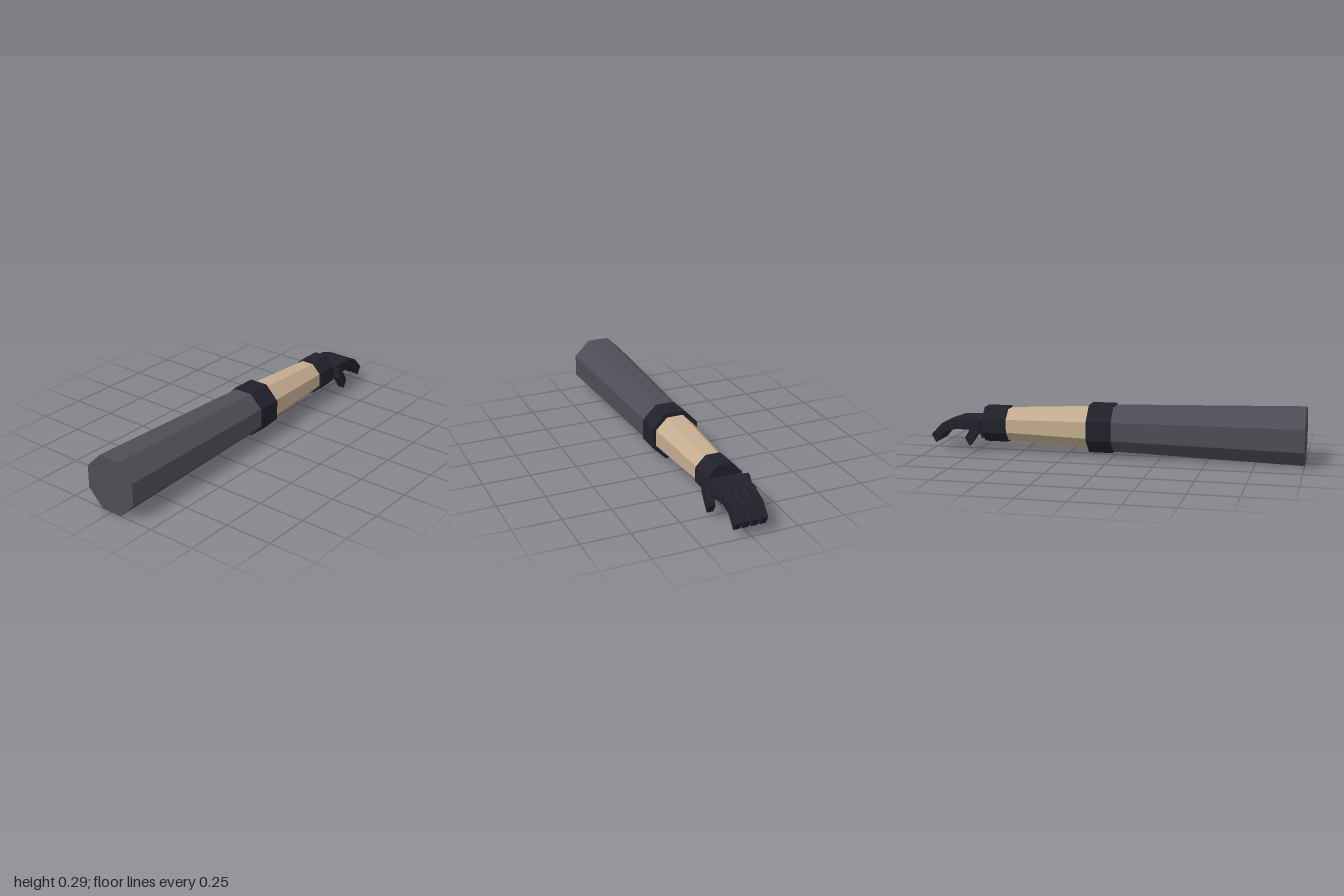
import * as THREE from 'three';

const AXIS_Y = 0.144; // height of the arm's centre line

function makeMaterial(name, color) {
  const m = new THREE.MeshStandardMaterial({ color, flatShading: true });
  m.name = name;
  return m;
}

export function createModel() {
  const group = new THREE.Group();
  const sleeve = makeMaterial('sleeve grey', 0x4d4d55);
  const glove = makeMaterial('glove black', 0x21212b);
  const skin = makeMaterial('skin', 0xc3ad90);

  const add = (name, geometry, material) => {
    const mesh = new THREE.Mesh(geometry, material);
    mesh.name = name;
    group.add(mesh);
    return mesh;
  };

  // Eight-sided tapered section lying along z; sizes are half-widths across the flats
  const section = (name, zFront, zBack, halfFront, halfBack, material) => {
    const k = 1 / Math.cos(Math.PI / 8);
    const g = new THREE.CylinderGeometry(
      halfFront * k, halfBack * k, zFront - zBack, 8, 1, false, Math.PI / 8);
    g.rotateX(Math.PI / 2);
    g.translate(0, AXIS_Y, (zFront + zBack) / 2);
    add(name, g, material);
  };

  // Side profile of [z, y] points, given a width along x
  const profile = (name, points, xCentre, width) => {
    const shape = new THREE.Shape(points.map(([z, y]) => new THREE.Vector2(-z, y)));
    const g = new THREE.ExtrudeGeometry(shape, { depth: width, bevelEnabled: false });
    g.rotateY(Math.PI / 2);
    g.translate(xCentre - width / 2, 0, 0);
    add(name, g, glove);
  };

  // Arm
  section('upperSleeve', 1, 0, 0.144, 0.118, sleeve);
  section('elbowCuff', 0, -0.13, 0.126, 0.126, glove);
  section('forearm', -0.13, -0.58, 0.106, 0.084, skin);
  section('wristCuff', -0.58, -0.71, 0.093, 0.093, glove);

  // Palm
  profile('palm', [[-0.7, 0.115], [-0.865, 0.12], [-0.865, 0.174], [-0.7, 0.178]], 0, 0.18);

  // Four curled fingers
  const finger = [
    [-0.853, 0.12], [-0.922, 0.104], [-0.976, 0.04],
    [-1, 0.083], [-0.94, 0.147], [-0.865, 0.174],
  ];
  [-0.067, -0.0225, 0.0225, 0.067].forEach((x, i) => profile('finger' + (i + 1), finger, x, 0.035));

  // A thumb on each side of the palm
  const thumb = [
    [-0.715, 0.115], [-0.735, 0.088], [-0.773, 0.036],
    [-0.796, 0.08], [-0.77, 0.125], [-0.735, 0.172], [-0.715, 0.172],
  ];
  profile('leftThumb', thumb, 0.104, 0.036);
  profile('rightThumb', thumb, -0.104, 0.036);

  return group;
}
